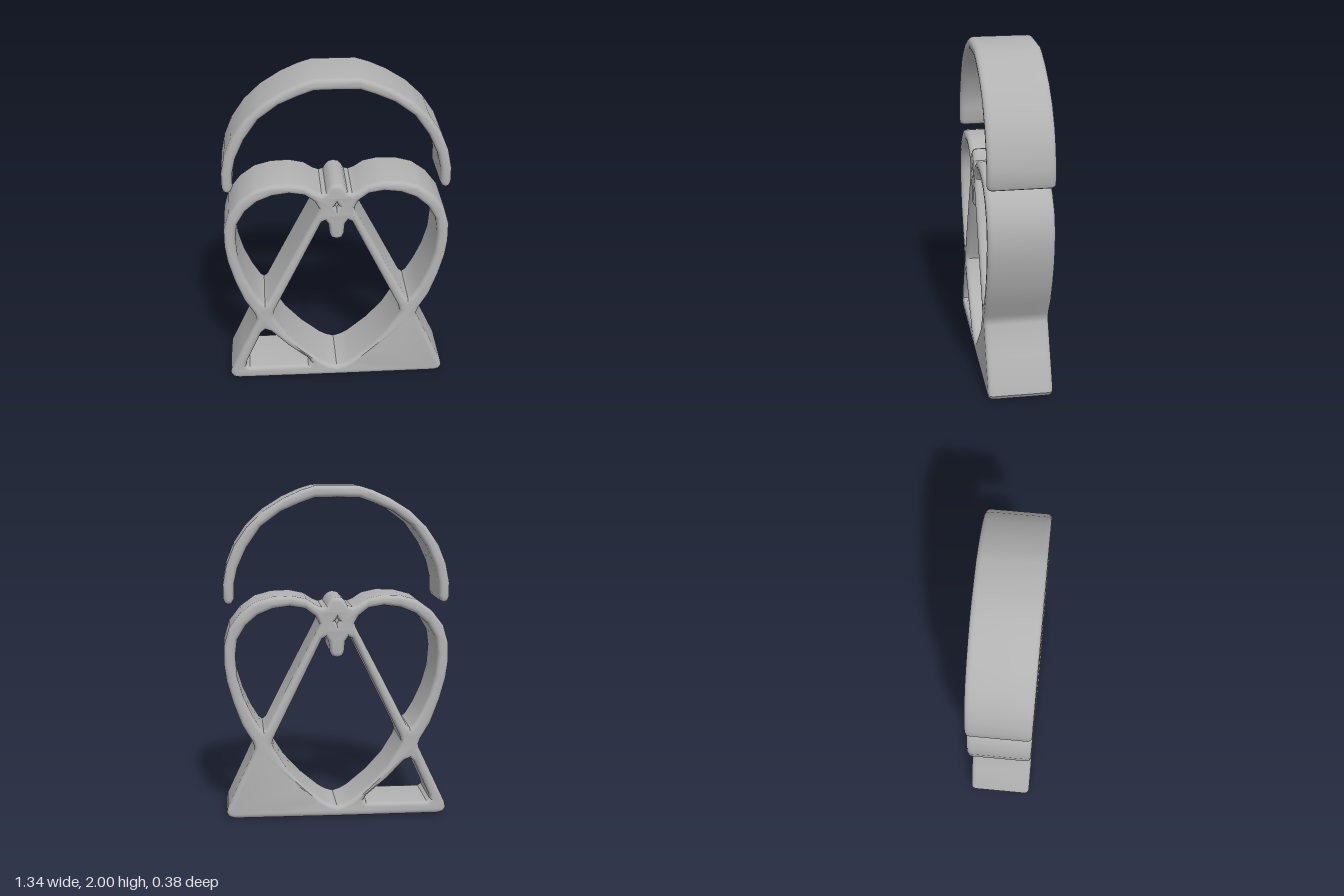
import * as THREE from 'three';
import { toCreasedNormals } from 'three/addons/utils/BufferGeometryUtils.js';

const DEPTH = 0.385, BEVEL = 0.024, BEVEL_DEPTH = 0.032;

const toVectors = (pts) => pts.map(([x, y]) => new THREE.Vector2(x, y));
const flip = (pts) => pts.map(([x, y]) => [-x, y]);
// Closes a right-hand half outline with its mirror image
const mirror = (half) => [...half, ...flip(half).reverse().filter(([x]) => x !== 0)];

// Extrudes an outline with holes into a band with rounded rims, centred on z = 0
function band(name, outline, holes, material) {
  const shape = new THREE.Shape(toVectors(outline));
  for (const hole of holes) shape.holes.push(new THREE.Path(toVectors(hole)));
  const geometry = new THREE.ExtrudeGeometry(shape, {
    depth: DEPTH - 2 * BEVEL_DEPTH, bevelEnabled: true, bevelSize: BEVEL,
    bevelThickness: BEVEL_DEPTH, bevelOffset: -BEVEL, bevelSegments: 4,
  });
  geometry.translate(0, 0, -DEPTH / 2 + BEVEL_DEPTH);
  const mesh = new THREE.Mesh(toCreasedNormals(geometry, 0.6), material);
  mesh.name = name;
  return mesh;
}

export function createModel() {
  const group = new THREE.Group();
  group.name = 'heartFrame';
  const grey = new THREE.MeshStandardMaterial({ color: 0xb2b2b2 });
  grey.name = 'grey';

  // Heart, legs and base share one outline
  const outline = mirror([
    [0, 0.003], [0.62, 0.005], [0.655, 0.015], [0.67, 0.04], [0.662, 0.075],
    [0.58, 0.25], [0.5, 0.42], [0.497, 0.445], [0.51, 0.48], [0.57, 0.58], [0.622, 0.72],
    [0.658, 0.85], [0.672, 0.95], [0.672, 1.06], [0.64, 1.17], [0.57, 1.26],
    [0.48, 1.325], [0.38, 1.352], [0.27, 1.356], [0.18, 1.337], [0.125, 1.3],
    [0.09, 1.287], [0.063, 1.295], [0.05, 1.32], [0.03, 1.34], [0, 1.347],
  ]);
  // Opening between the legs, with the small tail hanging at its top
  const centreHole = mirror([
    [0, 0.985], [0.03, 0.993], [0.043, 1.02], [0.05, 1.085], [0.068, 1.108],
    [0.09, 1.098], [0.24, 0.79], [0.382, 0.5], [0.392, 0.465], [0.38, 0.43],
    [0.31, 0.315], [0.21, 0.205], [0.09, 0.105], [0.045, 0.08], [0, 0.066],
  ]);
  const lobeHole = [
    [0.112, 1.165], [0.105, 1.19], [0.13, 1.235], [0.19, 1.28], [0.28, 1.295],
    [0.38, 1.282], [0.47, 1.245], [0.54, 1.185], [0.592, 1.1], [0.605, 1],
    [0.595, 0.87], [0.56, 0.75], [0.51, 0.64], [0.462, 0.56], [0.442, 0.545],
    [0.422, 0.56], [0.27, 0.86],
  ];
  const footHole = [
    [0.445, 0.357], [0.41, 0.343], [0.3, 0.23], [0.18, 0.13], [0.163, 0.103],
    [0.18, 0.083], [0.55, 0.083], [0.57, 0.098], [0.566, 0.125], [0.47, 0.335],
  ];
  const pinHole = [[0.012, 1.205], [0, 1.225], [-0.012, 1.205], [0, 1.185]];
  group.add(band('heartBody', outline,
    [centreHole, lobeHole, flip(lobeHole), footHole, flip(footHole), pinHole], grey));

  // Core that closes the pin hole, leaving a dimple at each end
  const core = new THREE.Mesh(new THREE.BoxGeometry(0.05, 0.06, 0.3), grey);
  core.name = 'dimpleCore';
  core.position.y = 1.205;
  group.add(core);

  // Separate arch floating over the heart
  const arch = mirror([
    [0, 1.932], [0.13, 1.93], [0.22, 1.898], [0.33, 1.85], [0.445, 1.765], [0.53, 1.645],
    [0.585, 1.525], [0.607, 1.43], [0.607, 1.345], [0.62, 1.318], [0.64, 1.308],
    [0.662, 1.318], [0.672, 1.345], [0.672, 1.43], [0.65, 1.54], [0.605, 1.65],
    [0.53, 1.76], [0.43, 1.855], [0.31, 1.93], [0.21, 1.975], [0.13, 2], [0, 2],
  ]);
  group.add(band('arch', arch, [], grey));
  return group;
}
